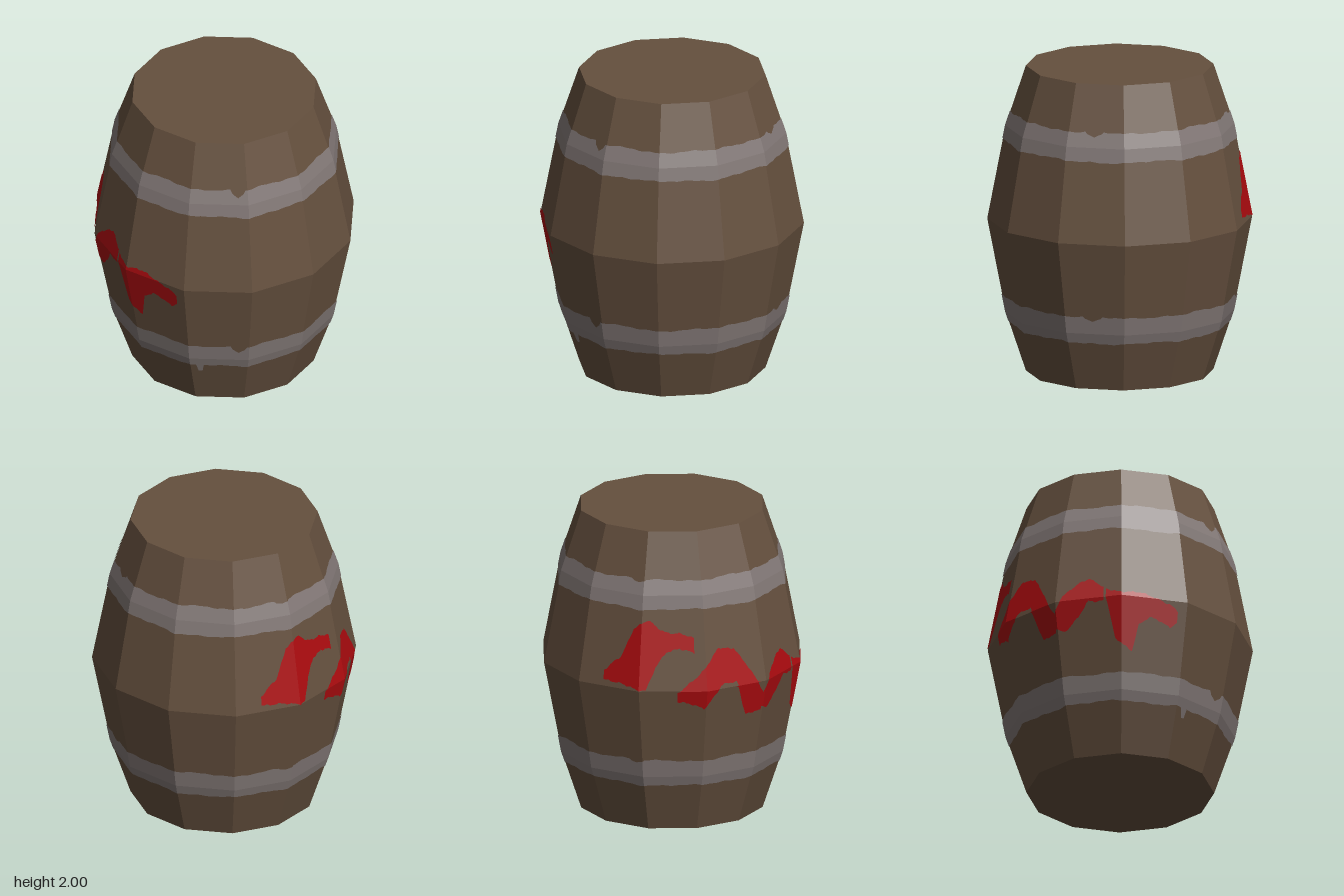
import * as THREE from 'three';

const SIDES = 12;
const STEP = 360 / SIDES;
// barrel outline: [height, corner radius]
const PROFILE = [[0, 0.6], [0.39, 0.73], [1, 0.847], [1.61, 0.73], [2, 0.6]];

const rad = THREE.MathUtils.degToRad;
const clamp = THREE.MathUtils.clamp;

// linear interpolation through rows of [key, value, ...]
function sample(rows, key, column) {
  let i = 0;
  while (i < rows.length - 2 && key > rows[i + 1][0]) i++;
  const a = rows[i], b = rows[i + 1];
  const t = clamp((key - a[0]) / (b[0] - a[0]), 0, 1);
  return a[column] + (b[column] - a[column]) * t;
}

// point on the faceted wall; angle runs from the back (-z) towards -x
function wallPoint(angle, y, lift) {
  const inFacet = ((angle % STEP) + STEP) % STEP - STEP / 2;
  const r = (sample(PROFILE, y, 1) + lift) * Math.cos(rad(STEP / 2)) / Math.cos(rad(inFacet));
  return [-r * Math.sin(rad(angle)), y, -r * Math.cos(rad(angle))];
}

// thin painted skin following the wall between low(angle) and high(angle)
function wallSkin(from, to, low, high, lift) {
  const positions = [];
  for (let a = from; a < to; a++) {
    const b = a + 1;
    for (let row = 0; row < PROFILE.length - 1; row++) {
      const y0 = PROFILE[row][0], y1 = PROFILE[row + 1][0];
      const [la, ha, lb, hb] = [low(a), high(a), low(b), high(b)].map((y) => clamp(y, y0, y1));
      if (ha - la < 1e-4 && hb - lb < 1e-4) continue;
      const p = wallPoint(a, la, lift), q = wallPoint(b, lb, lift);
      const r = wallPoint(b, hb, lift), s = wallPoint(a, ha, lift);
      positions.push(...p, ...q, ...r, ...p, ...r, ...s);
    }
  }
  const geometry = new THREE.BufferGeometry();
  geometry.setAttribute('position', new THREE.Float32BufferAttribute(positions, 3));
  geometry.computeVertexNormals();
  return geometry;
}

// uneven edge that repeats around the full circle
function wobble(angle, seed) {
  const t = rad(angle);
  return 0.004 * Math.sin(7 * t + seed) + 0.003 * Math.sin(19 * t + seed * 2) + 0.002 * Math.sin(43 * t + seed * 3);
}

export function createModel() {
  const wood = new THREE.MeshStandardMaterial({ color: 0x65503e });
  wood.name = 'brown wood';
  const iron = new THREE.MeshStandardMaterial({ color: 0x837977 });
  iron.name = 'grey iron';
  const paint = new THREE.MeshStandardMaterial({ color: 0xac0b0f });
  paint.name = 'red paint';

  const model = new THREE.Group();
  model.name = 'barrel';
  const add = (name, geometry, material) => {
    const mesh = new THREE.Mesh(geometry, material);
    mesh.name = name;
    model.add(mesh);
  };

  // wooden body with flat ends
  const outline = [[0, 0], ...PROFILE, [2, 0]].map(([y, r]) => new THREE.Vector2(r, y));
  const body = new THREE.LatheGeometry(outline, SIDES).toNonIndexed();
  body.computeVertexNormals();
  add('body', body, wood);

  // worn hoops: chips in the upper edge as [angle, half width, depth]
  const chips = [[175, 4, 0.05], [284, 5, 0.035], [27, 4, 0.02]];
  const chipDepth = (a) => chips.reduce((sum, [c, w, d]) => sum + (Math.abs(a - c) < w ? d * (1 - Math.abs(a - c) / w / 1.5) : 0), 0);
  const hoop = (name, bottom, top, drip) => add(name, wallSkin(0, 360,
    (a) => bottom + wobble(a, 1) - (Math.abs(a - 155) < 2 ? drip : 0),
    (a) => top + wobble(a, 4) - chipDepth(a), 0.004), iron);
  hoop('upperHoop', 1.522, 1.705, 0);
  hoop('lowerHoop', 0.325, 0.505, 0.06);

  // paint smears: rows of [angle, lower edge, upper edge]
  const smears = [
    [[12, 1.05, 1.1], [20, 1.03, 1.2], [26, 1.02, 1.4], [33, 1.01, 1.45], [37, 1.15, 1.41],
      [42, 1.25, 1.38], [48, 1.28, 1.365], [55, 1.24, 1.34]],
    [[47, 0.93, 0.98], [59, 0.88, 1.14], [67, 1.02, 1.26], [75, 1.03, 1.25], [81, 0.79, 1.12], [89, 0.79, 0.93]],
    [[88, 0.84, 0.9], [93, 0.8, 1.03], [100, 0.88, 1.12], [105, 0.98, 1.16], [112, 0.98, 1.07]],
    [[113, 1.0, 1.06], [117, 0.72, 1.04], [121, 0.68, 1.03], [125, 0.65, 1.03], [128, 0.82, 1.03],
      [133, 0.87, 1.02], [138, 0.86, 1.0], [143, 0.83, 0.96], [146, 0.86, 0.93]],
  ];
  smears.forEach((rows, i) => add('paintSmear' + (i + 1), wallSkin(rows[0][0], rows.at(-1)[0],
    (a) => sample(rows, a, 1) + 1.5 * wobble(a * 3, i),
    (a) => sample(rows, a, 2) + 1.5 * wobble(a * 3, i + 2), 0.004), paint));

  return model;
}
